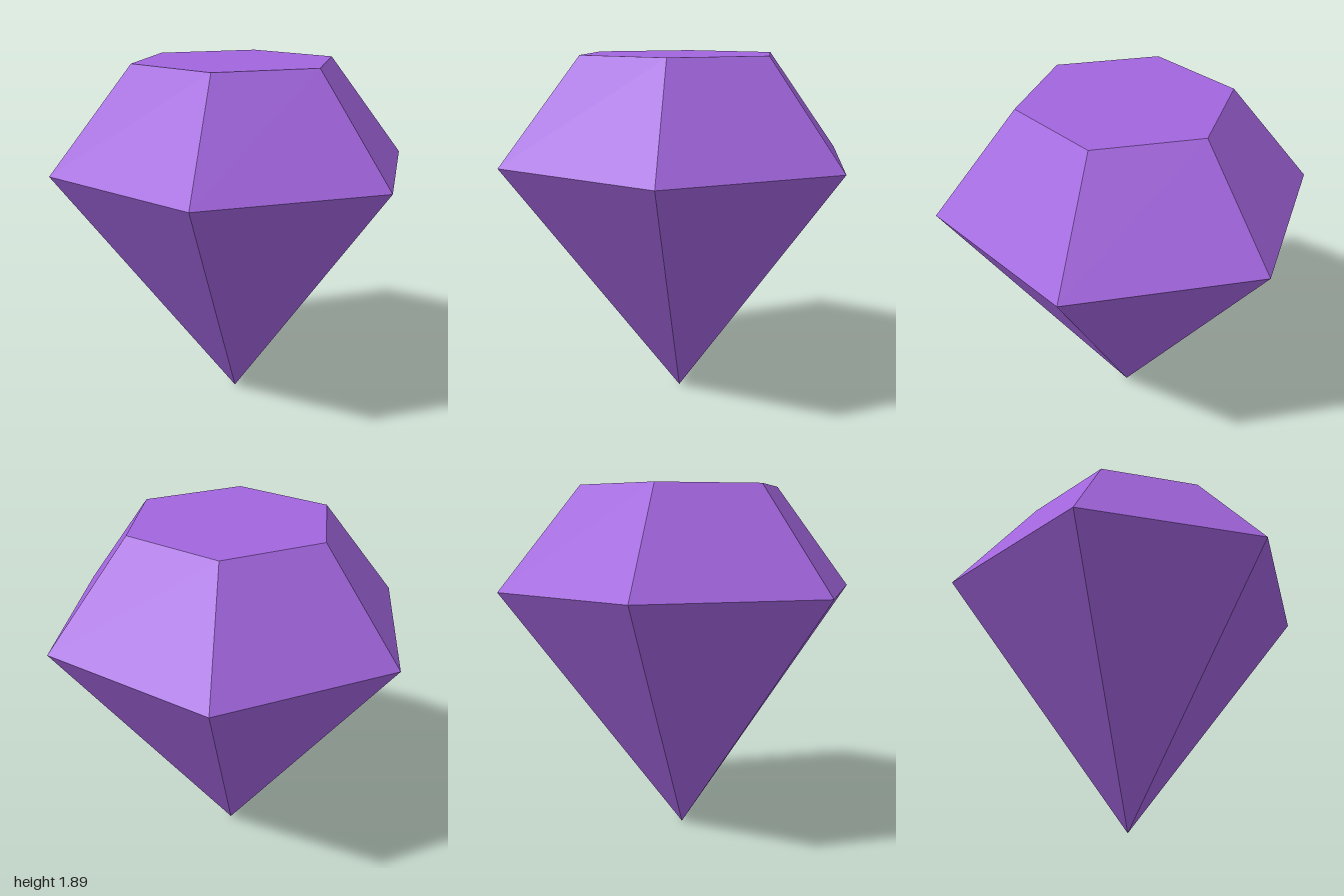
import * as THREE from 'three';

const SIDES = 6;
const GIRDLE_RADIUS = 1;
const TABLE_RADIUS = 0.556;
const GIRDLE_Y = 1.333;
const TOP_Y = 1.889;

export function createModel() {
  const gem = new THREE.Group();
  gem.name = 'gem';

  const purple = new THREE.MeshStandardMaterial({ color: 0xa265de, flatShading: true });
  purple.name = 'purple';

  // Adds one band of facets between two heights
  const addFacets = (name, topRadius, bottomRadius, y0, y1) => {
    const geometry = new THREE.CylinderGeometry(topRadius, bottomRadius, y1 - y0, SIDES, 1, true);
    const mesh = new THREE.Mesh(geometry, purple);
    mesh.name = name;
    mesh.position.y = (y0 + y1) / 2;
    gem.add(mesh);
  };

  // Pointed lower half and sloping upper half
  addFacets('pavilion', GIRDLE_RADIUS, 0, 0, GIRDLE_Y);
  addFacets('crown', TABLE_RADIUS, GIRDLE_RADIUS, GIRDLE_Y, TOP_Y);

  // Flat hexagonal top, corners towards front and back
  const table = new THREE.Mesh(new THREE.CircleGeometry(TABLE_RADIUS, SIDES, Math.PI / 2), purple);
  table.name = 'table';
  table.rotation.x = -Math.PI / 2;
  table.position.y = TOP_Y;
  gem.add(table);

  return gem;
}
